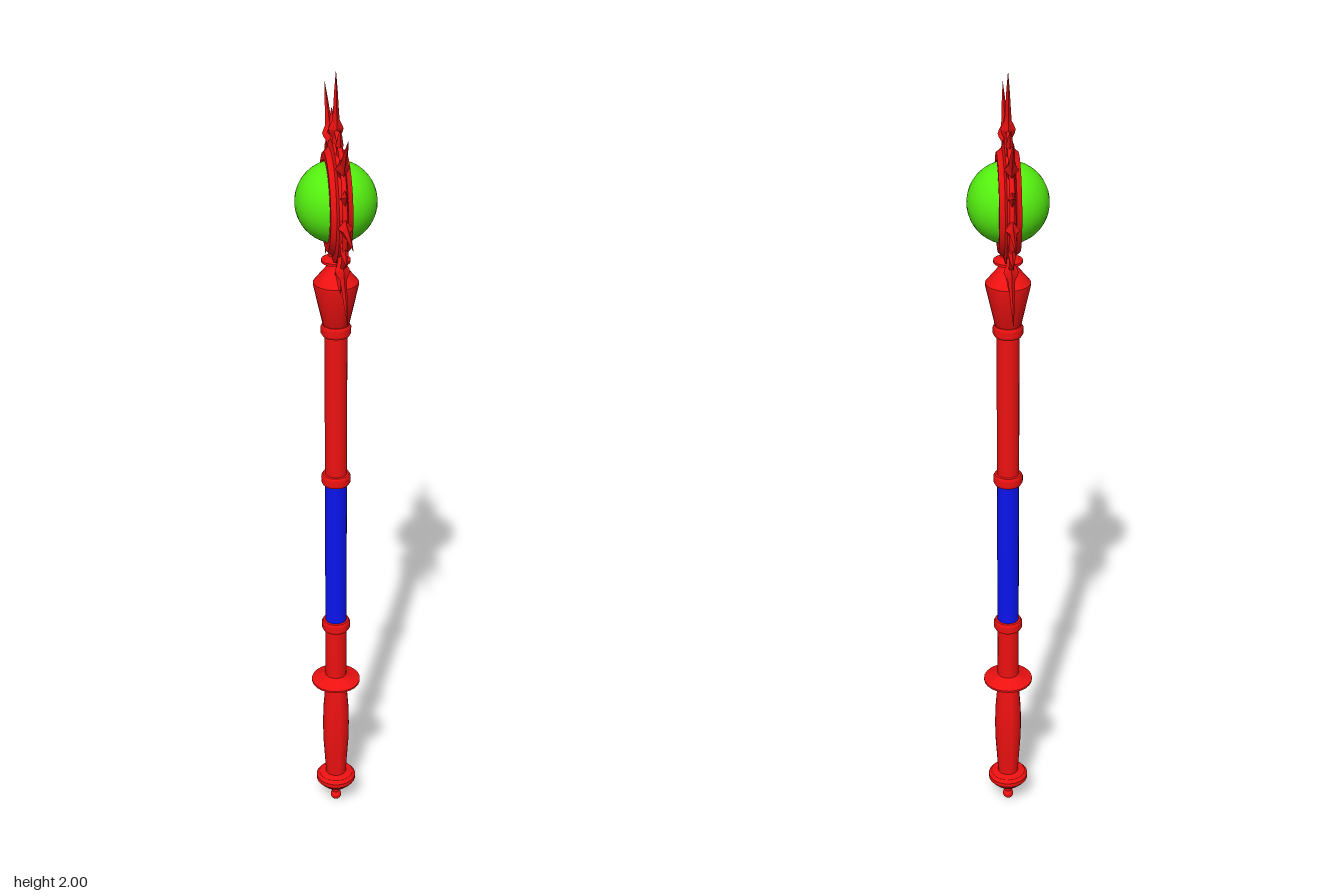
import * as THREE from 'three';
import { toCreasedNormals } from 'three/addons/utils/BufferGeometryUtils.js';

const mat = (color) => new THREE.MeshStandardMaterial({ color, side: THREE.DoubleSide });
const red = mat(0xee1111), blue = mat(0x0b14ee), green = mat(0x55f010);
const HEAD_Y = 1.697;

function add(parent, name, geometry, material) {
  const mesh = new THREE.Mesh(geometry, material);
  mesh.name = name;
  parent.add(mesh);
  return mesh;
}

// Turned part from [radius, height] pairs
function turned(points, segments = 24) {
  const profile = points.map(([r, y]) => new THREE.Vector2(r, y));
  return toCreasedNormals(new THREE.LatheGeometry(profile, segments), 0.6);
}

// Diamond-section spike from [distance, half width, half thickness] rows
function spike(rows) {
  const geo = new THREE.LatheGeometry(rows.map(([d, w]) => new THREE.Vector2(w, d)), 4);
  const pos = geo.attributes.position;
  for (let i = 0; i < pos.count; i++) {
    const [, w, t] = rows[i % rows.length];
    if (w > 0) pos.setX(i, pos.getX(i) * t / w);
  }
  return toCreasedNormals(geo, 0.3);
}

export function createModel() {
  const model = new THREE.Group();
  model.name = 'sceptre';

  // Pommel, grip and guard
  add(model, 'pommelBall', new THREE.SphereGeometry(0.014, 16, 12), red).position.y = 0.015;
  add(model, 'pommel', turned([[0, 0.024], [0.009, 0.026], [0.011, 0.04], [0.03, 0.05], [0.044, 0.064],
    [0.051, 0.073], [0.051, 0.084], [0.044, 0.092], [0.028, 0.096], [0, 0.096]]), red);
  add(model, 'grip', turned([[0.026, 0.09], [0.029, 0.14], [0.033, 0.2], [0.034, 0.25], [0.033, 0.3],
    [0.029, 0.35], [0.026, 0.385]]), red);
  add(model, 'guard', turned([[0.026, 0.37], [0.036, 0.378], [0.062, 0.388], [0.062, 0.393],
    [0.036, 0.402], [0.026, 0.41]]), red);

  // Shaft sections
  const shaft = (name, y0, y1, material) => {
    add(model, name, new THREE.CylinderGeometry(0.027, 0.027, y1 - y0, 20), material).position.y = (y0 + y1) / 2;
  };
  shaft('lowerShaft', 0.38, 0.56, red);
  shaft('middleShaft', 0.56, 0.985, blue);
  shaft('upperShaft', 0.985, 1.4, red);
  for (const y of [0.562, 0.985, 1.382]) {
    add(model, 'collar', turned([[0.026, -0.015], [0.032, -0.014], [0.036, -0.007], [0.036, 0.007],
      [0.032, 0.014], [0.026, 0.015]]), red).position.y = y;
  }

  // Flared socket and neck below the head
  add(model, 'socket', turned([[0.027, 1.39], [0.032, 1.4], [0.053, 1.495], [0.053, 1.502],
    [0.026, 1.535], [0.018, 1.545], [0.034, 1.552], [0.034, 1.558], [0.018, 1.568], [0.014, 1.59]]), red);

  // Sunburst head, built upright in the yz plane
  const head = new THREE.Group();
  head.name = 'sunburstHead';
  head.position.y = HEAD_Y;
  model.add(head);
  add(head, 'orb', new THREE.SphereGeometry(0.094, 32, 24), green);
  add(head, 'orbRing', turned([[0.088, -0.018], [0.094, -0.025], [0.112, -0.025], [0.122, -0.013], [0.138, -0.009],
    [0.138, 0.009], [0.122, 0.013], [0.112, 0.025], [0.094, 0.025], [0.088, 0.018], [0.088, -0.018]], 48), red)
    .rotation.z = Math.PI / 2;
  const outer = new THREE.TorusGeometry(0.167, 0.006, 8, 48);
  add(head, 'outerRing', outer, red).rotation.y = Math.PI / 2;

  // Eight long rays alternating with eight short ones
  const longRay = spike([[0.125, 0.014, 0.009], [0.15, 0.011, 0.009], [0.162, 0.017, 0.015],
    [0.17, 0.021, 0.017], [0.178, 0.021, 0.014], [0.19, 0.017, 0.008], [0.22, 0.013, 0.006],
    [0.255, 0.008, 0.004], [0.303, 0, 0]]);
  const shortRay = spike([[0.13, 0.008, 0.007], [0.152, 0.007, 0.007], [0.165, 0.022, 0.009],
    [0.176, 0.014, 0.007], [0.19, 0.009, 0.005], [0.21, 0, 0]]);
  for (let i = 0; i < 16; i++) {
    if (i === 8) continue; // the neck takes the lowest place
    const long = i % 2 === 0;
    add(head, long ? 'longRay' : 'shortRay', long ? longRay : shortRay, red).rotation.x = i * Math.PI / 8;
  }
  return model;
}
